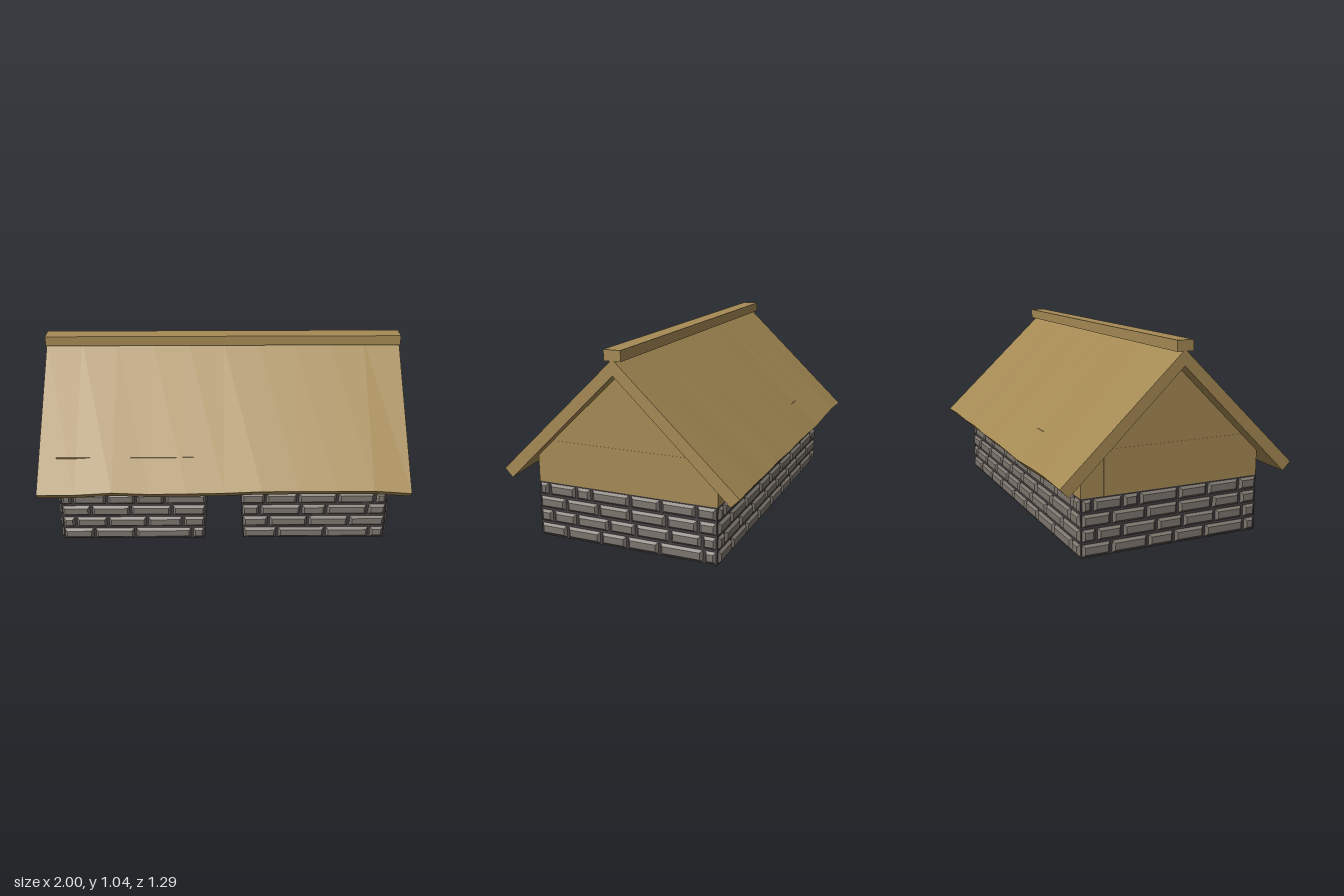
import * as THREE from 'three';
import { mergeGeometries } from 'three/addons/utils/BufferGeometryUtils.js';

const material = (name, color) => {
  const m = new THREE.MeshStandardMaterial({ color });
  m.name = name;
  return m;
};

export function createModel() {
  const thatch = material('thatch', 0xa58a54);
  const mortar = material('mortar', 0x453f40);
  const stone = material('stone', 0x7d766e);
  const model = new THREE.Group();
  const X = 0.905, Z = 0.5, T = 0.12, BASE = 0.3, TOP = 0.525;

  const add = (name, geometry, mat, parent = model) => {
    const mesh = new THREE.Mesh(geometry, mat);
    mesh.name = name;
    parent.add(mesh);
    return mesh;
  };
  const box = (name, mat, x0, x1, y0, y1, z0, z1) =>
    add(name, new THREE.BoxGeometry(x1 - x0, y1 - y0, z1 - z0), mat)
      .position.set((x0 + x1) / 2, (y0 + y1) / 2, (z0 + z1) / 2);
  const extrude = (points, depth) => new THREE.ExtrudeGeometry(
    new THREE.Shape(points.map(p => new THREE.Vector2(...p))), { depth, bevelEnabled: false });

  // Stone base: hollow walls with a tapered doorway at the front
  box('backBaseWall', mortar, -X, X, 0, BASE, -Z, -Z + T);
  for (const s of [-1, 1]) {
    const a = s * X, b = s * (X - T);
    box('sideBaseWall', mortar, Math.min(a, b), Math.max(a, b), 0, BASE, -Z + T, Z - T);
    add('frontBaseWall', extrude([[s * X, 0], [s * X, BASE], [s * 0.09, BASE], [s * 0.108, 0]], T), mortar)
      .position.z = Z - T;
  }

  // Upper walls, with the doorway notched into the front one
  box('backUpperWall', thatch, -X, X, BASE, TOP, -Z, -Z + T);
  add('frontUpperWall', extrude([[-X, BASE], [-0.09, BASE], [-0.085, 0.4], [0.08, 0.4],
    [0.085, BASE], [X, BASE], [X, TOP], [-X, TOP]], T), thatch).position.z = Z - T;
  box('ceiling', thatch, -X + T, X - T, TOP, TOP + 0.02, -Z + T, Z - T);

  // Gable ends with their flat panels
  for (const s of [-1, 1]) {
    const gable = add('gable', extrude([[-Z, BASE], [Z, BASE], [Z, 0.45], [0, 0.92], [-Z, 0.45]], T), thatch);
    gable.rotation.y = s * Math.PI / 2;
    gable.position.x = s * (X - T);
    box('gablePanel', thatch, s * X - 0.001, s * X + 0.001, BASE, 0.53, -0.38, 0.38);
  }

  // Bevelled stone blocks laid in four courses; each row lists its joints
  const block = (u0, u1, row) => {
    const h = BASE / 4, gap = 0.01, inset = 0.014;
    const g = new THREE.BoxGeometry(u1 - u0 - gap, h - gap, 0.016);
    const p = g.attributes.position;
    for (let i = 0; i < p.count; i++) {
      if (p.getZ(i) < 0) continue;
      p.setX(i, p.getX(i) - Math.sign(p.getX(i)) * inset);
      p.setY(i, p.getY(i) - Math.sign(p.getY(i)) * inset);
    }
    g.translate((u0 + u1) / 2, (row + 0.5) * h, 0.006);
    const flat = g.toNonIndexed();
    flat.computeVertexNormals();
    return flat;
  };
  const stoneWall = (name, courses, angle, distance) => {
    const blocks = [];
    for (const [row, joints] of courses)
      for (let i = 1; i < joints.length; i++) blocks.push(block(joints[i - 1], joints[i], row));
    const mesh = add(name, mergeGeometries(blocks), stone);
    mesh.rotation.y = angle;
    mesh.position.set(Math.sin(angle) * distance, 0, Math.cos(angle) * distance);
  };

  stoneWall('frontStones', [
    [0, [-X, -0.73, -0.5, -0.18, -0.107]],
    [1, [-X, -0.83, -0.65, -0.43, -0.23, -0.103]],
    [2, [-X, -0.74, -0.52, -0.29, -0.099]],
    [3, [-X, -0.84, -0.65, -0.49, -0.33, -0.095]],
    [0, [0.106, 0.3, 0.57, 0.82, X]],
    [1, [0.1, 0.25, 0.47, 0.7, X]],
    [2, [0.096, 0.2, 0.43, 0.57, 0.8, X]],
    [3, [0.091, 0.23, 0.41, 0.63, 0.84, X]],
  ], 0, Z);
  const sideCourses = [
    [0, [-Z, -0.34, -0.14, 0.01, 0.19, 0.43, Z]],
    [1, [-Z, -0.42, -0.28, -0.09, 0.06, 0.25, 0.42, Z]],
    [2, [-Z, -0.34, -0.15, 0.03, 0.23, 0.4, Z]],
    [3, [-Z, -0.44, -0.28, -0.19, 0.03, 0.2, 0.39, Z]],
  ];
  stoneWall('leftStones', sideCourses, Math.PI / 2, X);
  stoneWall('rightStones', sideCourses, -Math.PI / 2, X);
  stoneWall('backStones', [
    [0, [-X, -0.72, -0.5, -0.3, -0.07, 0.14, 0.33, 0.57, 0.81, X]],
    [1, [-X, -0.82, -0.6, -0.4, -0.18, 0.03, 0.24, 0.46, 0.69, X]],
    [2, [-X, -0.74, -0.52, -0.28, -0.1, 0.1, 0.32, 0.55, 0.79, X]],
    [3, [-X, -0.84, -0.63, -0.45, -0.2, 0, 0.21, 0.42, 0.62, 0.83, X]],
  ], Math.PI, Z);

  // Roof slopes: cross-sections along x whose eaves sag unevenly
  const slope = eaves => {
    const sections = eaves.map((y, i) => {
      const x = -1 + 2 * i / (eaves.length - 1);
      return [[x, 1, 0], [x, y, 0.645], [x, y - 0.045, 0.6], [x, 0.92, 0]];
    });
    const out = [];
    const quad = (a, b, c, d) => out.push(...a, ...b, ...c, ...a, ...c, ...d);
    for (let i = 1; i < sections.length; i++) {
      const a = sections[i - 1], b = sections[i];
      for (let k = 0; k < 4; k++) {
        const n = (k + 1) % 4;
        quad(a[k], a[n], b[n], b[k]);
      }
    }
    quad(...sections.at(-1));
    quad(...[...sections[0]].reverse());
    const g = new THREE.BufferGeometry();
    g.setAttribute('position', new THREE.Float32BufferAttribute(out, 3));
    g.computeVertexNormals();
    return g;
  };
  add('frontRoof', slope([0.38, 0.38, 0.392, 0.383, 0.385, 0.388, 0.396, 0.396, 0.396, 0.396, 0.38]), thatch);
  add('backRoof', slope([0.395, 0.4, 0.395, 0.4, 0.392, 0.395, 0.392, 0.385, 0.395, 0.4, 0.392]), thatch)
    .rotation.y = Math.PI;

  // Ridge cap
  box('ridgeCap', thatch, -1, 1, 0.99, 1.045, -0.045, 0.045);
  return model;
}
